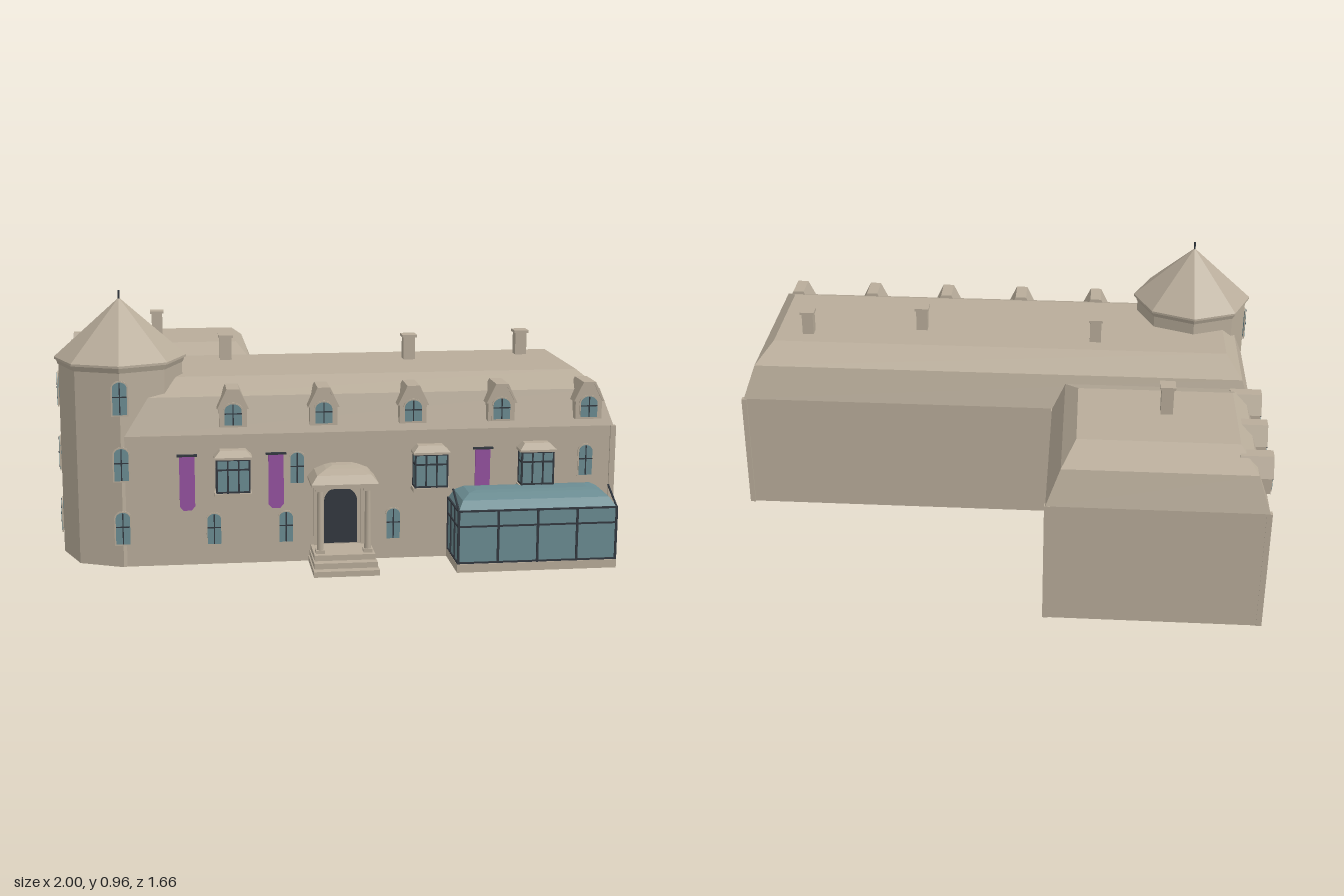
import * as THREE from 'three';

const mat = (name, color, side = THREE.FrontSide) => {
  const m = new THREE.MeshStandardMaterial({ color, side });
  m.name = name;
  return m;
};

export function createModel() {
  const stone = mat('stone', 0xb8ac9a, THREE.DoubleSide);
  const glass = mat('glass', 0x6b8c92, THREE.DoubleSide);
  const iron = mat('iron', 0x32383f);
  const purple = mat('bannerCloth', 0x9452a0);
  const root = new THREE.Group();

  const add = (parent, name, geo, material, x = 0, y = 0, z = 0) => {
    const m = new THREE.Mesh(geo, material);
    m.name = name;
    m.position.set(x, y, z);
    parent.add(m);
    return m;
  };
  const group = (name, x = 0, y = 0, z = 0, parent = root) => {
    const g = new THREE.Group();
    g.name = name;
    g.position.set(x, y, z);
    parent.add(g);
    return g;
  };
  const box = (parent, name, material, w, h, d, x, y, z) =>
    add(parent, name, new THREE.BoxGeometry(w, h, d), material, x, y, z);
  const facet = (geo) => {
    const g = geo.toNonIndexed();
    g.computeVertexNormals();
    return g;
  };
  const extrude = (shape, depth) =>
    new THREE.ExtrudeGeometry(shape, { depth, bevelEnabled: false, curveSegments: 6 });
  const polygon = (pts) => new THREE.Shape(pts.map(([x, y]) => new THREE.Vector2(x, y)));

  // Faceted skin through horizontal rings, closed on top and open below
  const loft = (rings) => {
    const pos = [];
    const n = rings[0].pts.length;
    const put = (r, i) => pos.push(r.pts[i % n][0], r.y, r.pts[i % n][1]);
    for (let k = 0; k < rings.length - 1; k++) {
      const a = rings[k], b = rings[k + 1];
      for (let i = 0; i < n; i++) {
        put(a, i); put(a, i + 1); put(b, i + 1);
        put(a, i); put(b, i + 1); put(b, i);
      }
    }
    const top = rings[rings.length - 1];
    for (let i = 1; i < n - 1; i++) { put(top, 0); put(top, i); put(top, i + 1); }
    const g = new THREE.BufferGeometry();
    g.setAttribute('position', new THREE.Float32BufferAttribute(pos, 3));
    g.computeVertexNormals();
    return g;
  };
  const rect = (y, x0, x1, z0, z1) => ({ y, pts: [[x0, z1], [x1, z1], [x1, z0], [x0, z0]] });

  // Main block: one corner is cut off where the tower stands
  const cut = (y, x, z0, z1, cx, cz) => ({ y, pts: [[-x, cz], [cx, z1], [x, z1], [x, z0], [-x, z0]] });
  add(root, 'mainBlock', loft([
    cut(0, 0.99, -0.125, 0.635, -0.77, 0.42), cut(0.47, 0.99, -0.125, 0.635, -0.77, 0.42),
    cut(0.6, 0.945, -0.09, 0.6, -0.69, 0.38), cut(0.65, 0.89, 0.035, 0.48, -0.57, 0.25),
  ]), stone);

  // Rear wing with the same mansard roof
  add(root, 'rearWing', loft([
    rect(0, -0.99, -0.22, -0.83, -0.13), rect(0.47, -0.99, -0.22, -0.83, -0.13),
    rect(0.6, -0.945, -0.27, -0.795, -0.165), rect(0.65, -0.89, -0.32, -0.67, -0.29),
  ]), stone);

  // Corner strips
  for (const [x, z] of [[0.988, 0.632], [0.988, -0.122], [-0.988, -0.822], [-0.226, -0.822], [-0.226, -0.135]])
    box(root, 'cornerStrip', stone, 0.02, 0.47, 0.02, x, 0.235, z);

  // Octagonal tower
  const tower = group('tower', -0.77, 0, 0.42);
  const drum = (name, r0, r1, h, y) =>
    add(tower, name, facet(new THREE.CylinderGeometry(r1, r0, h, 8)), stone, 0, y, 0);
  drum('towerWall', 0.22, 0.22, 0.7, 0.35);
  drum('towerCornice', 0.222, 0.23, 0.02, 0.705);
  drum('towerEave', 0.235, 0.235, 0.008, 0.718);
  drum('towerRoof', 0.235, 0.001, 0.208, 0.826);
  add(tower, 'finial', new THREE.CylinderGeometry(0.004, 0.004, 0.04, 6), iron, 0, 0.936, 0);

  // Arched window, standing on its sill and facing +z
  const arch = (w, h) => {
    const s = new THREE.Shape();
    const rise = w * 0.42;
    s.moveTo(-w / 2, 0);
    s.lineTo(w / 2, 0);
    s.lineTo(w / 2, h - rise);
    s.absellipse(0, h - rise, w / 2, rise, 0, Math.PI, false);
    s.lineTo(-w / 2, 0);
    return s;
  };
  const archWindow = (x, y, z, turn = 0, w = 0.048, h = 0.11, parent = root) => {
    const g = group('archedWindow', x, y, z, parent);
    g.rotation.y = turn;
    add(g, 'windowSurround', extrude(arch(w + 0.01, h + 0.01), 0.004), stone, 0, -0.005, 0);
    add(g, 'windowGlass', extrude(arch(w, h), 0.006), glass);
    box(g, 'mullion', iron, 0.004, h - 0.002, 0.003, 0, h / 2, 0.0065);
    box(g, 'transom', iron, w, 0.004, 0.003, 0, h * 0.55, 0.0065);
  };
  for (const [x, y] of [[-0.45, 0.075], [-0.195, 0.075], [0.19, 0.075], [-0.155, 0.29], [0.89, 0.29]])
    archWindow(x, y, 0.635);
  for (const y of [0.085, 0.315, 0.55]) {
    archWindow(-0.77, y, 0.639, 0, 0.05, 0.115);
    archWindow(-0.99, y, 0.42, -Math.PI / 2, 0.05, 0.115);
  }
  for (const z of [-0.7, -0.48, -0.25, 0])
    for (const y of [0.075, 0.29]) archWindow(-0.99, y, z, -Math.PI / 2);

  // Dormers with clipped gables
  const dormerShape = polygon([[-0.048, 0.5], [0.048, 0.5], [0.048, 0.575], [0.02, 0.63], [-0.02, 0.63], [-0.048, 0.575]]);
  const roofShape = polygon([[-0.056, 0.565], [-0.048, 0.565], [-0.018, 0.625], [0.018, 0.625], [0.048, 0.565],
    [0.056, 0.565], [0.022, 0.635], [-0.022, 0.635]]);
  const dormer = (x, z, turn) => {
    const g = group('dormer', x, 0, z);
    g.rotation.y = turn;
    add(g, 'dormerBody', extrude(dormerShape, 0.11), stone, 0, 0, -0.115);
    add(g, 'dormerRoof', extrude(roofShape, 0.115), stone, 0, 0, -0.115);
    archWindow(0, 0.508, -0.005, 0, 0.06, 0.075, g);
  };
  for (let i = 0; i < 5; i++) dormer(-0.38 + i * 0.3175, 0.66, 0);
  for (const z of [-0.7, -0.48, -0.25]) dormer(-1, z, -Math.PI / 2);

  // Chimneys
  for (const [x, z, top] of [[-0.38, 0.125, 0.745], [0.315, 0.19, 0.745], [0.765, 0.125, 0.745], [-0.64, -0.45, 0.76]]) {
    const g = group('chimney', x, 0, z);
    box(g, 'chimneyStack', stone, 0.044, top - 0.64, 0.044, 0, (top + 0.64) / 2, 0);
    box(g, 'chimneyCap', stone, 0.056, 0.01, 0.056, 0, top - 0.005, 0);
  }

  // Square bay windows
  for (const x of [-0.383, 0.318, 0.702]) {
    const g = group('bayWindow', x, 0, 0.635);
    box(g, 'bayGlass', glass, 0.114, 0.125, 0.05, 0, 0.333, 0.025);
    box(g, 'baySill', stone, 0.13, 0.014, 0.058, 0, 0.263, 0.027);
    add(g, 'bayRoof', loft([rect(0.392, -0.066, 0.066, -0.01, 0.06), rect(0.4, -0.066, 0.066, -0.01, 0.06),
      rect(0.42, -0.045, 0.045, -0.01, 0.035)]), stone);
    for (const px of [-0.057, -0.019, 0.019, 0.057])
      box(g, 'bayPost', iron, 0.006, 0.124, 0.006, px, 0.332, 0.049);
    for (const s of [-1, 1]) box(g, 'bayBackPost', iron, 0.006, 0.124, 0.006, s * 0.057, 0.332, 0.003);
    for (const y of [0.274, 0.355, 0.39]) box(g, 'bayRail', iron, 0.12, 0.006, 0.054, 0, y, 0.026);
  }

  // Banners hanging from rods
  const bannerShape = polygon([[-0.027, 0.215], [-0.014, 0.2], [0.014, 0.2], [0.027, 0.215], [0.027, 0.398], [-0.027, 0.398]]);
  for (const x of [-0.543, -0.23, 0.512]) {
    add(root, 'banner', extrude(bannerShape, 0.009), purple, x, 0, 0.632);
    box(root, 'bannerRod', iron, 0.072, 0.007, 0.012, x, 0.399, 0.64);
  }

  // Entrance: door, portico and steps
  const porch = group('entrance', 0, 0, 0.635);
  add(porch, 'door', extrude(arch(0.118, 0.205), 0.009), iron, 0, 0.065, -0.003);
  for (let i = 0; i < 3; i++) {
    const d = 0.195 - i * 0.03;
    box(porch, 'step', stone, 0.23 - i * 0.008, 0.02, d, 0, 0.01 + i * 0.02, d / 2);
  }
  for (const s of [-1, 1]) {
    const x = s * 0.084;
    add(porch, 'column', new THREE.CylinderGeometry(0.01, 0.012, 0.22, 12), stone, x, 0.18, 0.1);
    box(porch, 'columnBase', stone, 0.032, 0.012, 0.032, x, 0.066, 0.1);
    box(porch, 'columnCapital', stone, 0.032, 0.012, 0.032, x, 0.29, 0.1);
    box(porch, 'pilaster', stone, 0.024, 0.236, 0.012, x, 0.178, 0.006);
  }
  box(porch, 'porchBeam', stone, 0.215, 0.014, 0.12, 0, 0.301, 0.06);
  add(porch, 'porchRoof', loft([rect(0.305, -0.118, 0.118, 0, 0.138), rect(0.314, -0.118, 0.118, 0, 0.138),
    rect(0.34, -0.095, 0.095, 0, 0.11), rect(0.354, -0.06, 0.06, 0, 0.07), rect(0.36, -0.035, 0.035, 0, 0.04)]), stone);

  // Glazed conservatory
  const house = group('conservatory');
  const x0 = 0.39, x1 = 0.952, zb = 0.635, zf = 0.826;
  add(house, 'plinth', loft([rect(0, x0 - 0.004, x1 + 0.004, zb, zf + 0.004),
    rect(0.03, x0 - 0.004, x1 + 0.004, zb, zf + 0.004)]), stone);
  add(house, 'glassWalls', loft([rect(0.03, x0, x1, zb, zf), rect(0.22, x0, x1, zb, zf)]), glass);
  add(house, 'glassRoof', loft([rect(0.22, x0, x1, zb, zf), rect(0.25, x0 + 0.02, x1 - 0.02, zb + 0.005, 0.795),
    rect(0.266, x0 + 0.05, x1 - 0.05, 0.655, 0.755), rect(0.27, x0 + 0.08, x1 - 0.08, 0.68, 0.73)]), glass);
  for (let i = 0; i <= 4; i++)
    box(house, 'frontPost', iron, 0.008, 0.19, 0.008, x0 + (x1 - x0) * i / 4, 0.125, zf);
  for (const y of [0.034, 0.165, 0.22]) box(house, 'frontRail', iron, x1 - x0, 0.006, 0.008, (x0 + x1) / 2, y, zf);
  for (const x of [x0, x1]) {
    for (const z of [0.64, 0.7, 0.765]) box(house, 'sidePost', iron, 0.008, 0.19, 0.008, x, 0.125, z);
    for (const y of [0.034, 0.165, 0.22]) box(house, 'sideRail', iron, 0.008, 0.006, zf - zb, x, y, (zf + zb) / 2);
    const path = new THREE.LineCurve3(new THREE.Vector3(x, 0.22, zf), new THREE.Vector3(x, 0.272, 0.72));
    add(house, 'roofBrace', new THREE.TubeGeometry(path, 1, 0.004, 6), iron);
  }

  return root;
}
